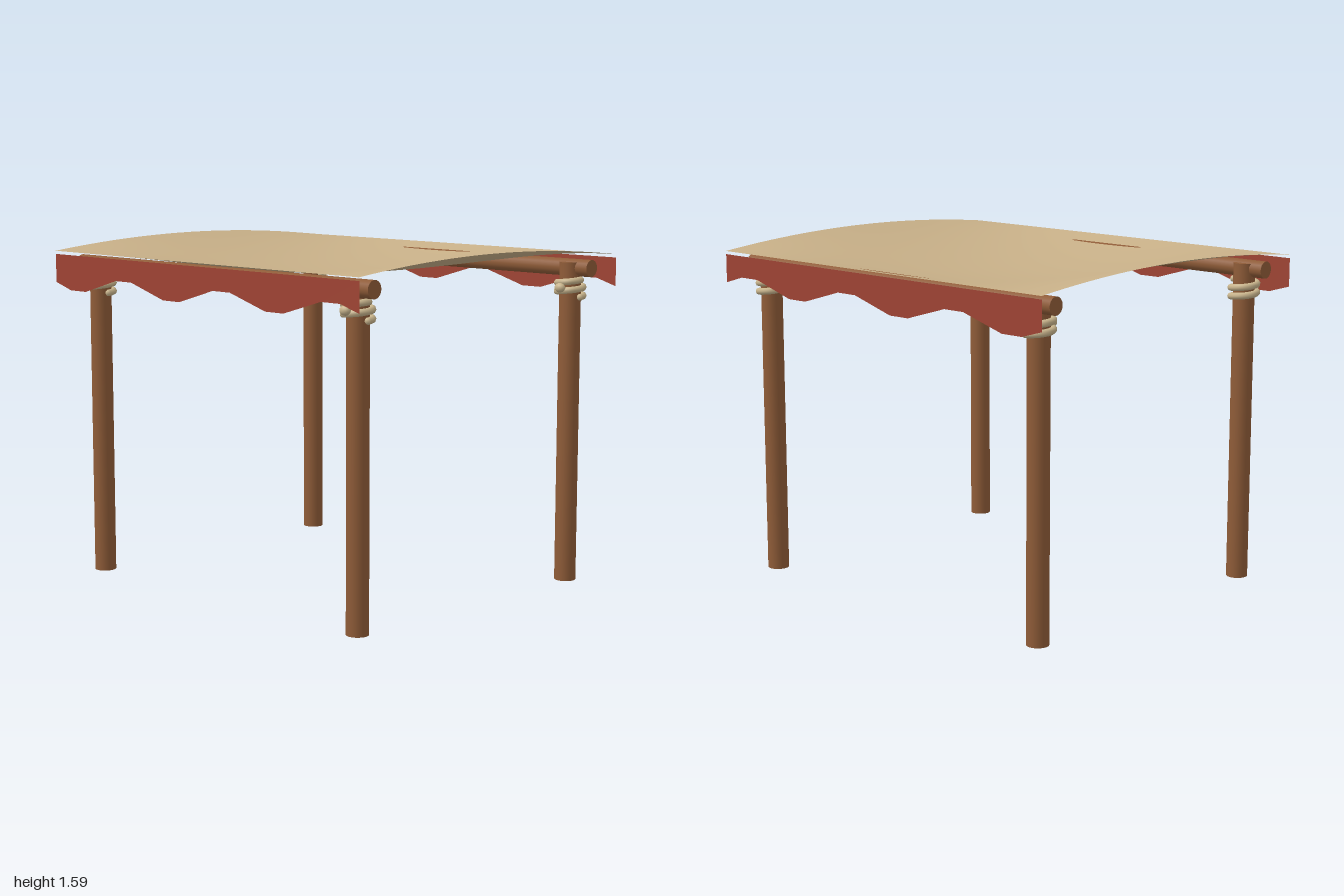
import * as THREE from 'three';

const canvas = new THREE.MeshStandardMaterial({ color: 0xc8b088, side: THREE.DoubleSide });
canvas.name = 'canvas';
const redCloth = new THREE.MeshStandardMaterial({ color: 0xa04434, side: THREE.DoubleSide });
redCloth.name = 'redCloth';
const wood = new THREE.MeshStandardMaterial({ color: 0x8f5c38 });
wood.name = 'wood';
const rope = new THREE.MeshStandardMaterial({ color: 0xc8b48c });
rope.name = 'rope';

function add(parent, name, geometry, material, x = 0, y = 0, z = 0) {
  const mesh = new THREE.Mesh(geometry, material);
  mesh.name = name;
  mesh.position.set(x, y, z);
  parent.add(mesh);
  return mesh;
}

// Saddle-shaped cloth: sags in the middle, lifts along the two sides
function canopyGeometry() {
  const geo = new THREE.PlaneGeometry(2, 1.7, 24, 24).rotateX(-Math.PI / 2);
  const p = geo.attributes.position;
  for (let i = 0; i < p.count; i++) {
    const x = p.getX(i), z = p.getZ(i);
    p.setY(i, 1.535 + (1 - (z / 0.85) ** 2) * (0.13 * x * x - 0.08));
  }
  geo.computeVertexNormals();
  return geo;
}

// Flat hanging strip with a wavy lower edge
function valanceGeometry() {
  const shape = new THREE.Shape();
  shape.moveTo(1, 1.52);
  shape.lineTo(-1, 1.52);
  for (let i = 0; i <= 18; i++) {
    shape.lineTo(-1 + i / 9, 1.3875 - 0.0375 * Math.sin(i * Math.PI / 3));
  }
  return new THREE.ShapeGeometry(shape);
}

// Two turns of rope wound round a post
function lashingGeometry() {
  const points = [];
  for (let i = 0; i <= 32; i++) {
    const a = (i / 32) * Math.PI * 4;
    points.push(new THREE.Vector3(Math.cos(a) * 0.06, 1.34 + 0.08 * i / 32, -Math.sin(a) * 0.06));
  }
  return new THREE.TubeGeometry(new THREE.CatmullRomCurve3(points), 80, 0.016, 8);
}

export function createModel() {
  const group = new THREE.Group();
  group.name = 'shadeCanopy';

  add(group, 'canopy', canopyGeometry(), canvas);

  const valance = valanceGeometry();
  const lashing = lashingGeometry();
  const post = new THREE.CylinderGeometry(0.05, 0.05, 1.5, 20);
  const beam = new THREE.CylinderGeometry(0.04, 0.04, 1.92, 20).rotateZ(Math.PI / 2);
  const knot = new THREE.SphereGeometry(0.02, 14, 10).scale(1.4, 1.1, 1);
  const ropeEnd = new THREE.SphereGeometry(0.016, 8, 6);

  for (const side of [1, -1]) {
    const end = side > 0 ? 'front' : 'back';
    add(group, end + 'Valance', valance, redCloth, 0, 0, side * 0.848);
    add(group, end + 'Beam', beam, wood, 0, 1.474, side * 0.718);

    // Posts with their rope lashings
    for (const x of [0.85, -0.85]) {
      const corner = new THREE.Group();
      corner.name = end + (x > 0 ? 'Left' : 'Right') + 'Post';
      corner.position.set(x, 0, side * 0.702);
      add(corner, 'post', post, wood, 0, 0.75, 0);
      add(corner, 'lashing', lashing, rope);
      add(corner, 'knot', knot, rope, 0, 1.385, 0.076);
      add(corner, 'lowerRopeEnd', ropeEnd, rope, 0.06, 1.34, 0);
      add(corner, 'upperRopeEnd', ropeEnd, rope, 0.06, 1.42, 0);
      group.add(corner);
    }
  }
  return group;
}
